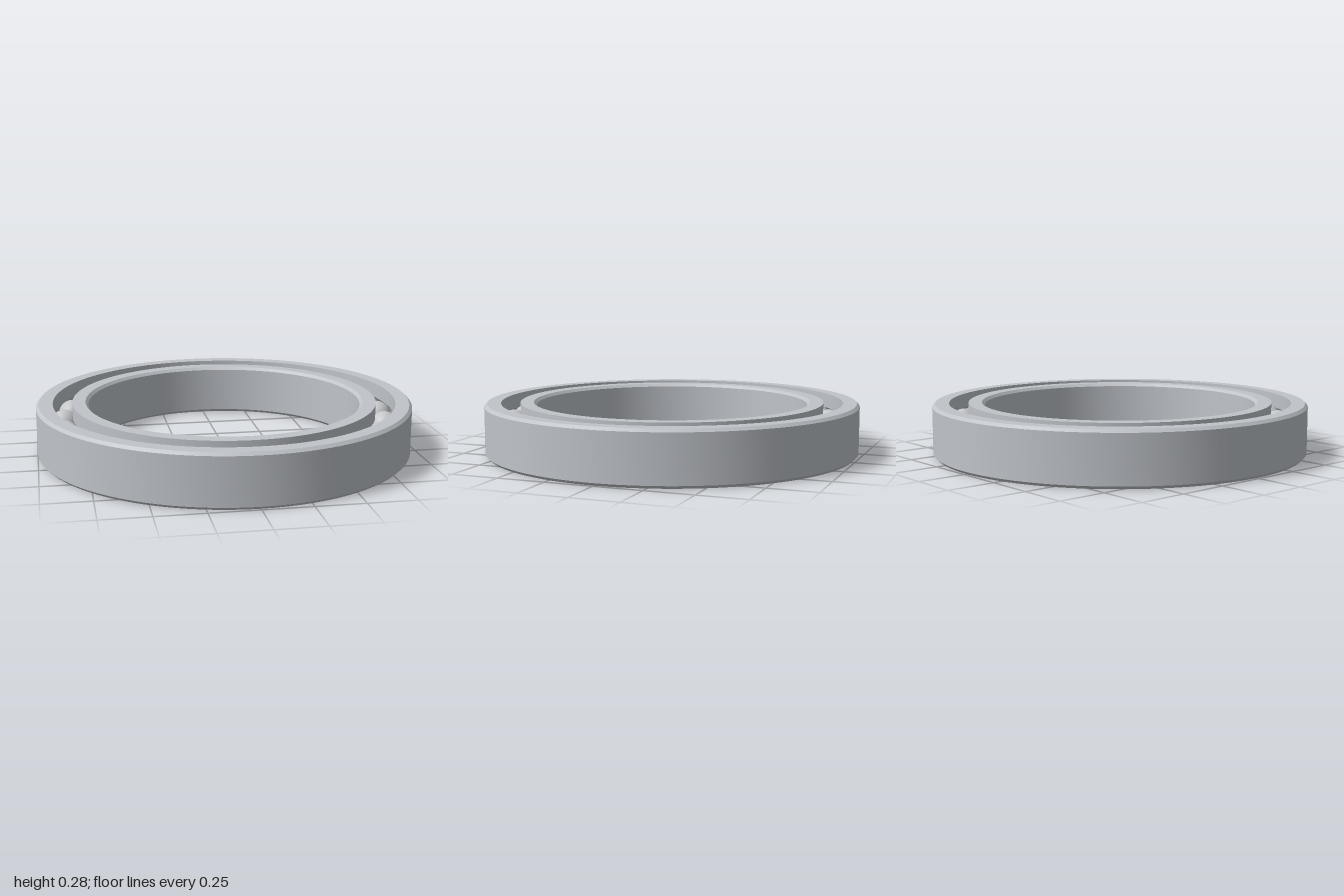
import * as THREE from 'three';
import { toCreasedNormals } from 'three/addons/utils/BufferGeometryUtils.js';

const HEIGHT = 0.276, MID = HEIGHT / 2, CHAMFER = 0.015;
const PITCH = 0.861, BALL_RADIUS = 0.077, BALLS = 25;

// Points along the ball groove that cuts into a wall; side is +1 (outer ring) or -1 (inner ring)
function groove(wall, side) {
  const r = BALL_RADIUS + 0.001;
  const half = Math.acos(Math.abs(wall - PITCH) / r);
  const points = [];
  for (let i = 0; i <= 12; i++) {
    const a = half * (1 - i / 6); // outer ring runs down, inner ring runs up
    points.push([PITCH + side * r * Math.cos(a), MID + side * r * Math.sin(a)]);
  }
  return points;
}

// Revolve a closed, counterclockwise profile with sharp edges kept
function ring(name, profile, material) {
  const points = [...profile, profile[0]].map(([x, y]) => new THREE.Vector2(x, y));
  const mesh = new THREE.Mesh(toCreasedNormals(new THREE.LatheGeometry(points, 128), 0.5), material);
  mesh.name = name;
  return mesh;
}

export function createModel() {
  const ringSteel = new THREE.MeshStandardMaterial({ color: 0xc0c4ca });
  ringSteel.name = 'ring steel';
  const ballSteel = new THREE.MeshStandardMaterial({ color: 0xc4c6c8 });
  ballSteel.name = 'ball steel';
  const model = new THREE.Group();
  model.name = 'ballBearing';

  // Outer ring: chamfered outside, grooved inside
  const outer = 1, outerWall = 0.912;
  model.add(ring('outerRing', [
    [outerWall, 0], [outer - CHAMFER, 0], [outer, CHAMFER],
    [outer, HEIGHT - CHAMFER], [outer - CHAMFER, HEIGHT], [outerWall, HEIGHT],
    ...groove(outerWall, 1),
  ], ringSteel));

  // Inner ring: chamfered bore, grooved outside
  const bore = 0.725, innerWall = 0.81;
  model.add(ring('innerRing', [
    [bore + CHAMFER, 0], [innerWall, 0],
    ...groove(innerWall, -1),
    [innerWall, HEIGHT], [bore + CHAMFER, HEIGHT],
    [bore, HEIGHT - CHAMFER], [bore, CHAMFER],
  ], ringSteel));

  // Balls evenly spaced between the rings
  const balls = new THREE.Group();
  balls.name = 'balls';
  const ballGeometry = new THREE.SphereGeometry(BALL_RADIUS, 32, 20);
  for (let i = 0; i < BALLS; i++) {
    const a = (i / BALLS) * Math.PI * 2;
    const ball = new THREE.Mesh(ballGeometry, ballSteel);
    ball.name = 'ball';
    ball.position.set(PITCH * Math.cos(a), MID, PITCH * Math.sin(a));
    balls.add(ball);
  }
  model.add(balls);
  return model;
}
